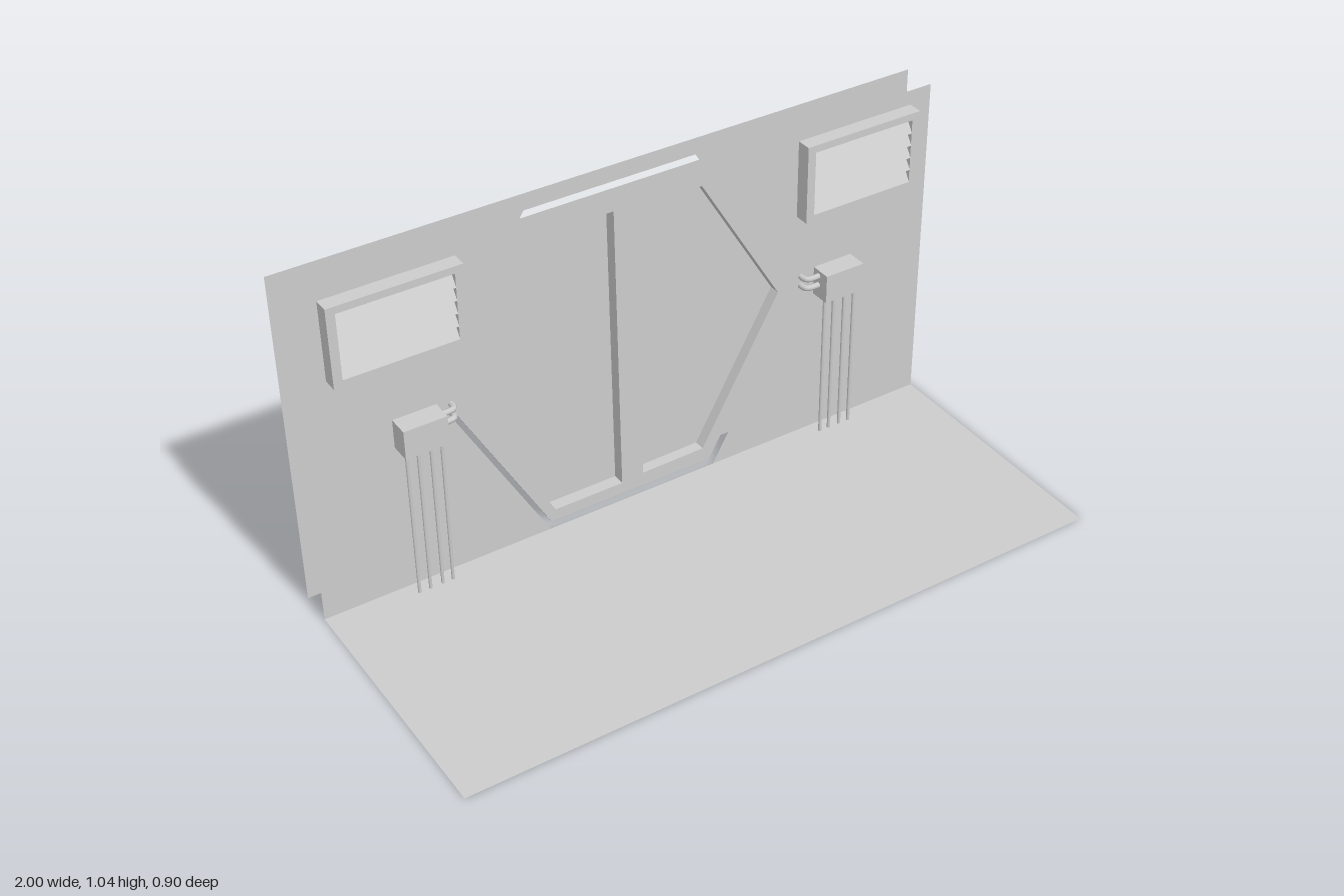
import * as THREE from 'three';

const grey = new THREE.MeshStandardMaterial({ color: 0xcccccc, side: THREE.DoubleSide });

function add(parent, name, geometry, x = 0, y = 0, z = 0) {
  const mesh = new THREE.Mesh(geometry, grey);
  mesh.name = name;
  mesh.position.set(x, y, z);
  parent.add(mesh);
  return mesh;
}

const toShape = pts => new THREE.Shape(pts.map(p => new THREE.Vector2(...p)));

// Band of flat quads that follows a closed outline from depth z0 to z1
function band(pts, z0, z1) {
  const pos = [];
  pts.forEach(([ax, ay], i) => {
    const [bx, by] = pts[(i + 1) % pts.length];
    pos.push(ax, ay, z0, ax, ay, z1, bx, by, z1, ax, ay, z0, bx, by, z1, bx, by, z0);
  });
  const g = new THREE.BufferGeometry();
  g.setAttribute('position', new THREE.Float32BufferAttribute(pos, 3));
  g.computeVertexNormals();
  return g;
}

function createDoor() {
  const door = new THREE.Group();
  door.name = 'door';
  const front = -0.369;
  const outline = [[-0.275, 0.003], [0.265, 0.003], [0.55, 0.506], [0.27, 0.99], [-0.255, 0.99], [-0.555, 0.506]];
  const leaves = [
    { name: 'rightLeaf', back: -0.408, pts: [[-0.26, 0.04], [-0.037, 0.04], [-0.041, 0.957], [-0.237, 0.957], [-0.513, 0.506]] },
    { name: 'leftLeaf', back: -0.404, pts: [[0.035, 0.047], [0.242, 0.05], [0.502, 0.506], [0.24, 0.944], [0.035, 0.944]] }
  ];

  // Hollow frame: front sheet with two openings and an outer rim
  const face = toShape(outline);
  leaves.forEach(l => face.holes.push(toShape(l.pts)));
  add(door, 'doorFrameFace', new THREE.ShapeGeometry(face), 0, 0, front);
  add(door, 'doorFrameRim', band(outline, front, -0.398));

  // Sunken leaves
  leaves.forEach(({ name, back, pts }) => {
    add(door, name + 'Sides', band(pts, front, back));
    add(door, name + 'Panel', new THREE.ShapeGeometry(toShape(pts)), 0, 0, back);
  });
  return door;
}

function createVent(x) {
  const vent = new THREE.Group();
  vent.name = 'vent';
  vent.position.set(x, 0.879, -0.376);
  const rect = (w, h) => toShape([[-w, -h], [w, -h], [w, h], [-w, h]]);
  const frame = rect(0.193, 0.121);
  frame.holes.push(rect(0.167, 0.099));
  add(vent, 'ventFrame', new THREE.ExtrudeGeometry(frame, { depth: 0.077, bevelEnabled: false }));
  add(vent, 'ventBack', new THREE.PlaneGeometry(0.386, 0.242), 0, 0, 0.001);
  // Sloping slats
  for (let i = 0; i < 5; i++) {
    const slat = add(vent, 'ventSlat', new THREE.BoxGeometry(0.334, 0.05, 0.006), 0, 0.077 - i * 0.0395, 0.062);
    slat.rotation.x = -0.6;
  }
  return vent;
}

// side: +1 for the model's left, -1 for its right
function createJunction(x, side) {
  const unit = new THREE.Group();
  unit.name = 'junctionUnit';
  unit.position.x = x;
  add(unit, 'junctionBox', new THREE.BoxGeometry(0.13, 0.09, 0.064), 0, 0.525, -0.31);
  // Vertical conduits
  [-0.052, -0.018, 0.02, 0.052].forEach(px =>
    add(unit, 'conduit', new THREE.CylinderGeometry(0.005, 0.005, 0.48, 8), -side * px, 0.243, -0.302));
  // Short bent pipes that run into the wall
  [0.552, 0.522].forEach(y => {
    const path = new THREE.CatmullRomCurve3([
      [0.06, -0.318], [0.09, -0.318], [0.104, -0.322], [0.109, -0.334], [0.109, -0.352]
    ].map(([px, z]) => new THREE.Vector3(-side * px, y, z)));
    add(unit, 'wallPipe', new THREE.TubeGeometry(path, 12, 0.009, 8));
  });
  return unit;
}

export function createModel() {
  const model = new THREE.Group();
  model.name = 'doorwayScene';

  // Floor
  add(model, 'floor', new THREE.PlaneGeometry(2, 0.795).rotateX(-Math.PI / 2), 0, 0, 0.0525);

  // Two thin walls with a six-sided opening that reaches the floor
  const wall = toShape([
    [-1, 0], [-0.292, 0], [-0.573, 0.506], [-0.268, 0.994], [0.272, 0.994],
    [0.554, 0.506], [0.262, 0], [1, 0], [1, 1.045], [-1, 1.045]
  ]);
  add(model, 'frontWall', new THREE.ShapeGeometry(wall), 0, 0, -0.345);
  add(model, 'backWall', new THREE.ShapeGeometry(wall), 0, 0, -0.45);

  model.add(createDoor());
  model.add(createVent(-0.72), createVent(0.737));
  model.add(createJunction(-0.681, -1), createJunction(0.673, 1));
  return model;
}
